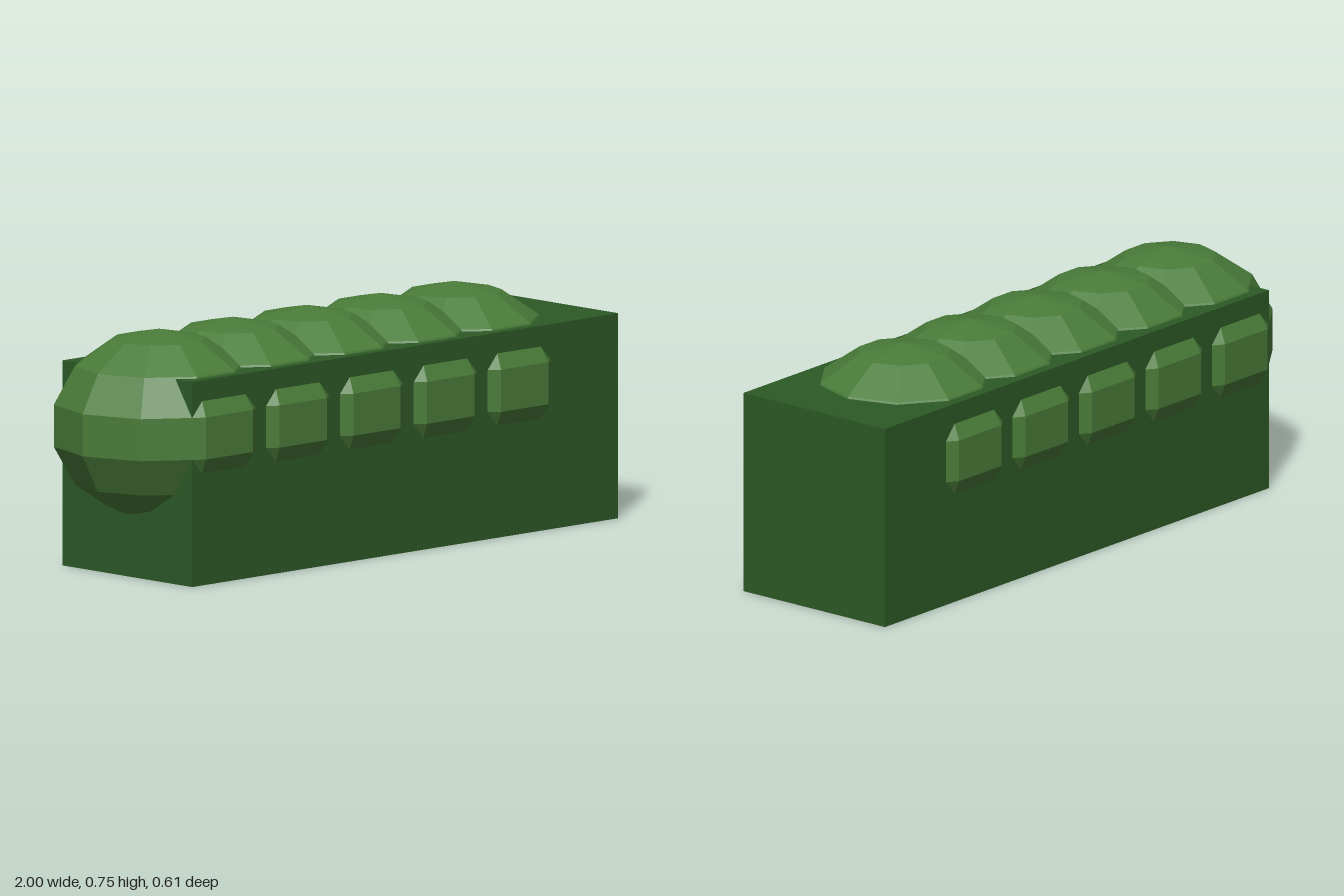
import * as THREE from 'three';

export function createModel() {
  const group = new THREE.Group();
  group.name = 'hedge';
  const darkGreen = new THREE.MeshStandardMaterial({ color: 0x2d5a27, flatShading: true });
  const leafGreen = new THREE.MeshStandardMaterial({ color: 0x4a7c39, flatShading: true });

  // Trimmed rectangular body
  const body = new THREE.Mesh(new THREE.BoxGeometry(1.81, 0.63, 0.56), darkGreen);
  body.name = 'hedgeBody';
  body.position.set(0.095, 0.315, 0);
  group.add(body);

  // Row of faceted, slightly flattened foliage clumps bulging through the body
  const clumpGeometry = new THREE.SphereGeometry(1, 10, 7);
  clumpGeometry.scale(0.333, 0.29, 0.328);
  for (let i = 0; i < 5; i++) {
    const clump = new THREE.Mesh(clumpGeometry, leafGreen);
    clump.name = `foliageClump${i + 1}`;
    clump.position.set(-0.675 + i * 0.3135, 0.455, 0);
    group.add(clump);
  }
  return group;
}
